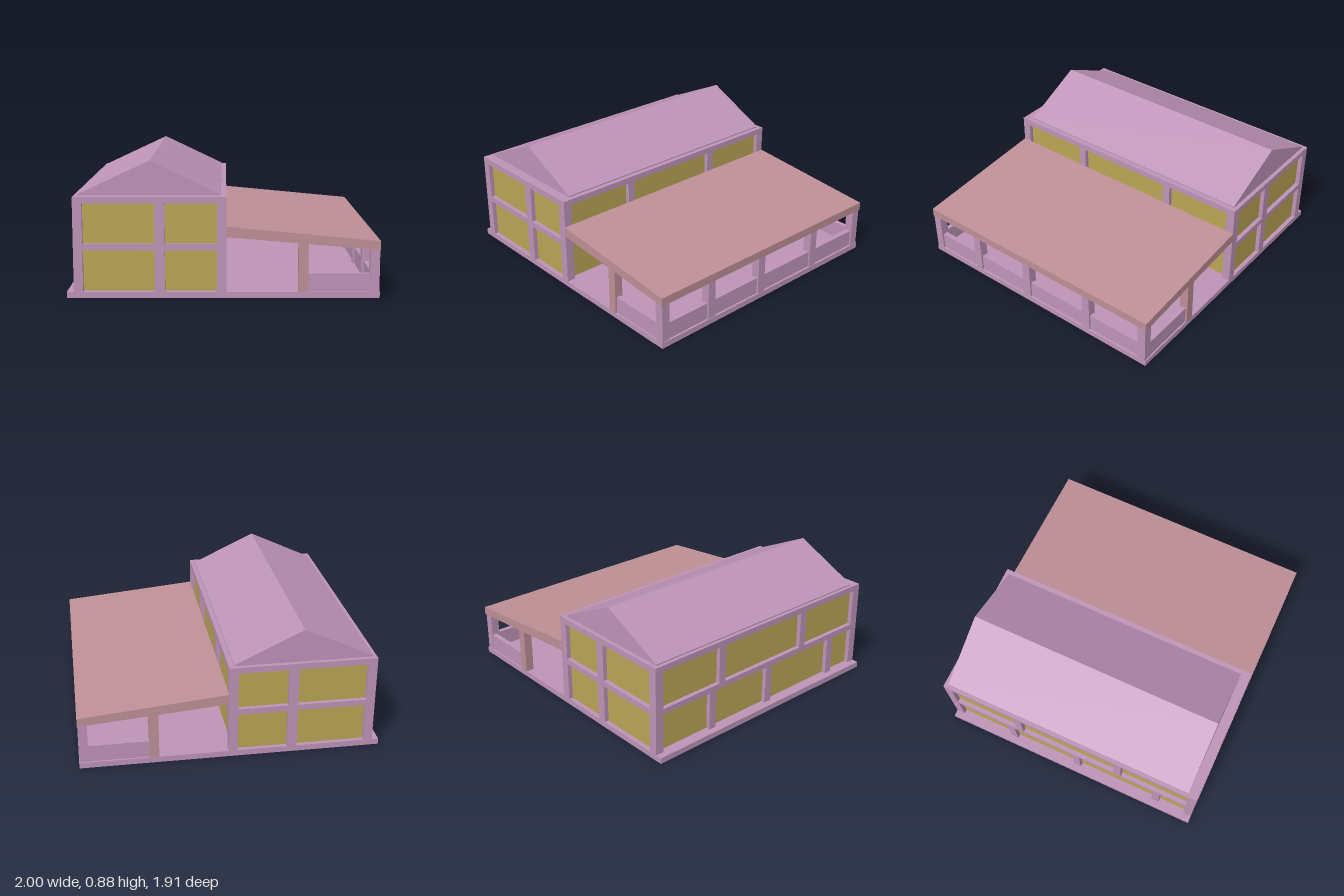
import * as THREE from 'three';

export function createModel() {
  const model = new THREE.Group();
  const mauve = new THREE.MeshStandardMaterial({ color: 0xbe94b8 });
  const pink = new THREE.MeshStandardMaterial({ color: 0xbe9096 });
  const olive = new THREE.MeshStandardMaterial({ color: 0xbaa656 });

  // box given by its two extreme corners
  function box(name, x0, x1, y0, y1, z0, z1, material = mauve, parent = model) {
    const mesh = new THREE.Mesh(new THREE.BoxGeometry(x1 - x0, y1 - y0, z1 - z0), material);
    mesh.position.set((x0 + x1) / 2, (y0 + y1) / 2, (z0 + z1) / 2);
    mesh.name = name;
    parent.add(mesh);
    return mesh;
  }

  // x-y profile extruded along z
  function prism(name, points, z0, z1, material) {
    const shape = new THREE.Shape(points.map(([x, y]) => new THREE.Vector2(x, y)));
    const geometry = new THREE.ExtrudeGeometry(shape, { depth: z1 - z0, bevelEnabled: false });
    const mesh = new THREE.Mesh(geometry, material);
    mesh.position.z = z0;
    mesh.name = name;
    model.add(mesh);
    return mesh;
  }

  const Z = 0.953, L = -0.955, R = 0.02, W = 0.06, recess = 0.03;

  // ground slab
  box('floorSlab', -1, 1, 0, 0.04, -Z, Z);

  // main building: glazed core behind a frame
  const house = new THREE.Group();
  house.name = 'house';
  model.add(house);
  box('windows', L + recess, R - recess, 0.04, 0.62, -Z + recess, Z - recess, olive, house);
  for (const x of [L, R - W])
    for (const z of [-Z, Z - W])
      box('cornerPost', x, x + W, 0.04, 0.61, z, z + W, mauve, house);
  for (const z of [-Z, Z - W])
    box('endPost', -0.437, -0.372, 0.04, 0.61, z, z + W, mauve, house);

  // beams at mid floor and eaves
  box('eavesSlab', L, R, 0.61, 0.652, -Z, Z, mauve, house);
  box('middleFloor', L, R, 0.31, 0.35, -Z, Z, mauve, house);

  // side posts, spaced differently on each storey
  const sidePost = (x, y0, y1, z) =>
    box('sidePost', x, x + W, y0, y1, z - 0.028, z + 0.028, mauve, house);
  for (const z of [-0.39, 0.37])
    for (const x of [L, R - W]) sidePost(x, 0.35, 0.61, z);
  for (const z of [-0.47, 0.045, 0.67]) sidePost(L, 0.04, 0.31, z);
  for (const z of [-0.145, 0.37]) sidePost(R - W, 0.04, 0.31, z);

  // gable roof
  prism('gableRoof', [[-0.93, 0.652], [-0.015, 0.652], [-0.015, 0.66], [-0.468, 0.876], [-0.93, 0.66]],
    -0.925, 0.885, mauve);

  // sloping porch roof
  prism('porchRoof', [[R, 0.395], [0.935, 0.318], [1, 0.313], [1, 0.37], [R, 0.463]], -0.955, 0.955, pink);

  // porch posts along the outer side
  for (const z of [0.922, 0.527, 0.065, -0.457, -0.916])
    box('porchPost', 0.937, 0.997, 0.01, 0.318, z - 0.03, z + 0.03);
  // low wall along the outer side
  box('porchSideWall', 0.95, 0.985, 0.04, 0.157, -0.93, 0.93);

  // intermediate posts and low walls at both porch ends
  for (const s of [-1, 1]) {
    const near = s * 0.955, far = s * 0.895;
    prism('porchEndPost', [[0.48, 0.04], [0.542, 0.04], [0.542, 0.356], [0.48, 0.361]],
      Math.min(near, far), Math.max(near, far), pink);
    box('porchEndWall', 0.54, 0.94, 0.04, 0.157, s * 0.925 - 0.017, s * 0.925 + 0.017);
  }

  return model;
}
